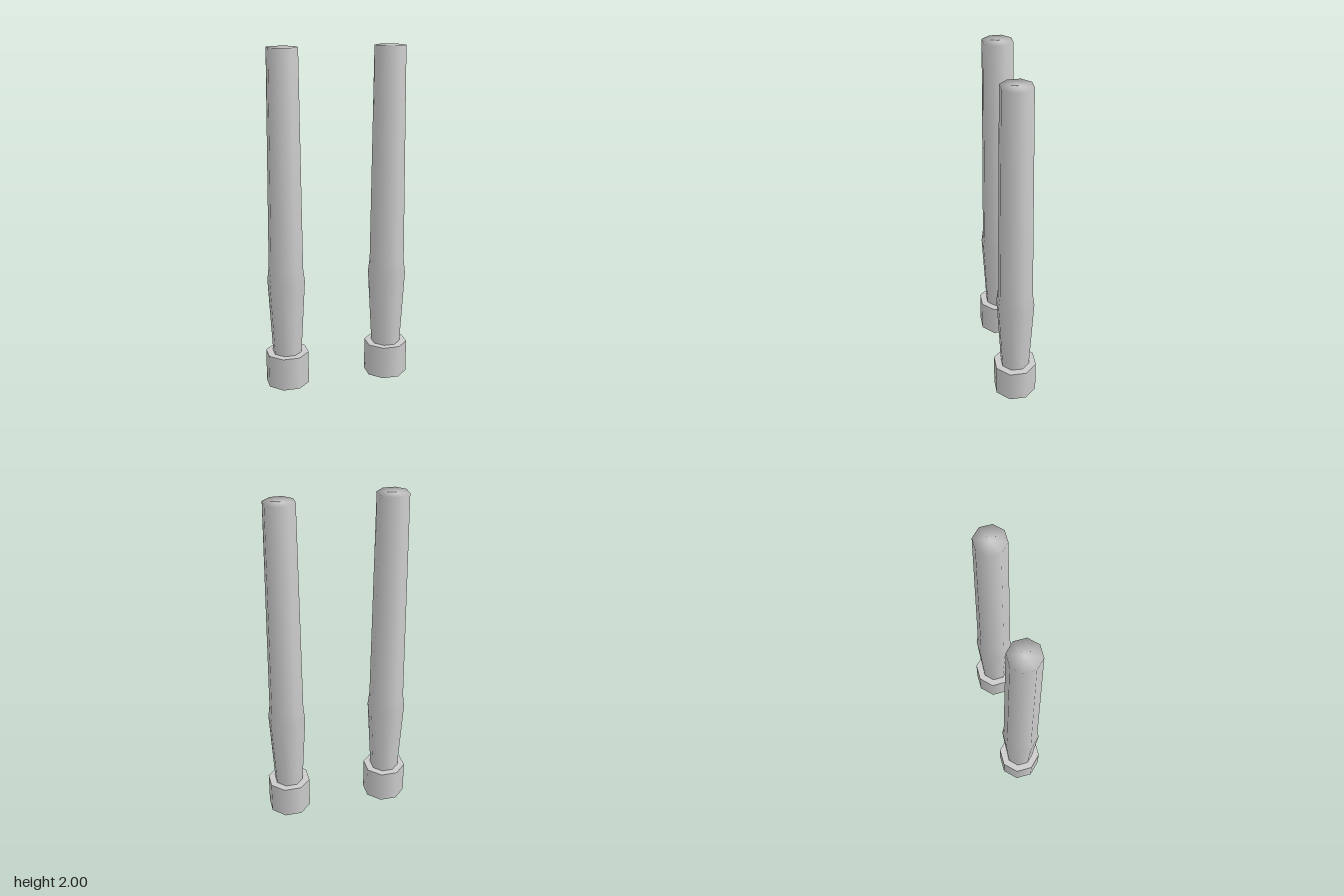
import * as THREE from 'three';

const SIDES = 8;
const TURN = Math.PI / SIDES; // flat sides face the axes
const corner = (apothem) => apothem / Math.cos(TURN);

// Shaft profile: [half width across flats, height]
const SHAFT = [[0.08, 0.19], [0.104, 0.65], [0.095, 0.73], [0.083, 2], [0, 2]];

function createPost(material) {
  const post = new THREE.Group();

  // Octagonal foot collar
  const collar = new THREE.Mesh(
    new THREE.CylinderGeometry(corner(0.12), corner(0.12), 0.2, SIDES, 1, false, TURN), material);
  collar.name = 'footCollar';
  collar.position.y = 0.1;

  // Tapered shaft with a bulge and a softly shaded end
  const profile = SHAFT.map(([a, y]) => new THREE.Vector2(corner(a), y));
  const shaft = new THREE.Mesh(new THREE.LatheGeometry(profile, SIDES, TURN), material);
  shaft.name = 'shaft';

  post.add(collar, shaft);
  return post;
}

export function createModel() {
  const model = new THREE.Group();
  model.name = 'postPair';
  const material = new THREE.MeshStandardMaterial({ color: 0xcccccc });

  // One post on each side
  for (const side of [-1, 1]) {
    const post = createPost(material);
    post.name = side > 0 ? 'leftPost' : 'rightPost';
    post.position.x = side * 0.31;
    model.add(post);
  }
  return model;
}
